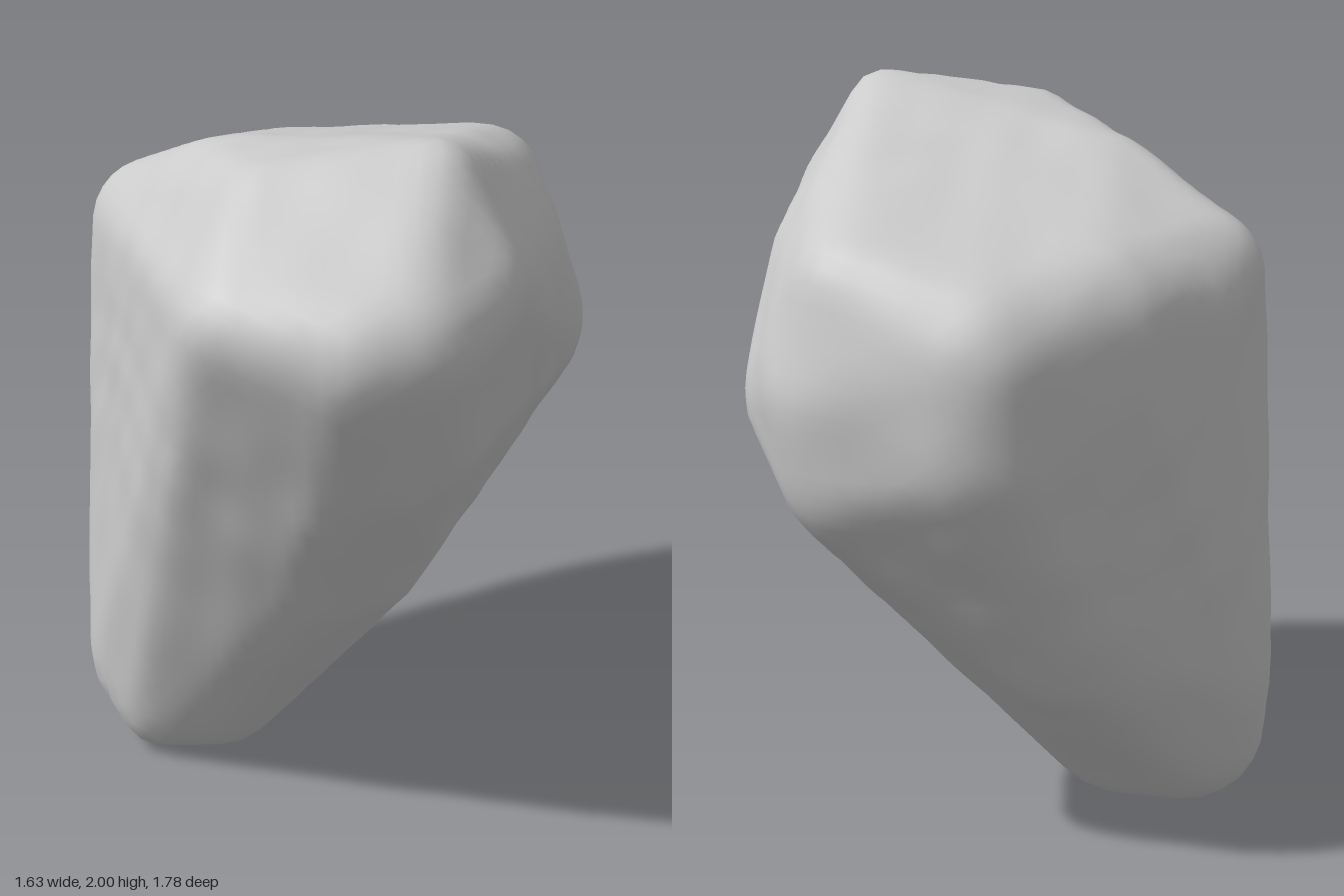
import * as THREE from 'three';
import { mergeVertices } from 'three/addons/utils/BufferGeometryUtils.js';
import { ConvexGeometry } from 'three/addons/geometries/ConvexGeometry.js';

// Rounded corners of the boulder: [x, y, z, radius]
const CORNERS = [
  // narrow foot
  [-0.45, 0.15, -0.39, 0.15], [-0.4, 0.24, -0.51, 0.21], [-0.33, 0.26, -0.33, 0.25], [-0.35, 0.45, -0.56, 0.23],
  // front nose and its sloping underside
  [-0.67, 1.6, 0.46, 0.15], [-0.32, 1.56, 0.67, 0.22], [-0.12, 1.62, 0.58, 0.21], [-0.45, 1.54, 0.65, 0.2],
  [-0.25, 0.9, 0.15, 0.34], [-0.28, 1.3, 0.4, 0.36],
  // top ridge and plateau
  [-0.12, 1.88, 0.5, 0.12], [-0.48, 1.82, 0.28, 0.12], [-0.34, 1.72, -0.2, 0.15], [0.36, 1.68, 0.04, 0.13],
  // back
  [-0.34, 1.53, -0.57, 0.19], [-0.14, 1.47, -0.65, 0.21], [0.1, 1.48, -0.66, 0.23], [0.1, 1.3, -0.64, 0.25],
  [0.4, 1.4, -0.58, 0.27], [0.4, 1.18, -0.56, 0.27], [0, 0.65, -0.5, 0.3],
  // bulging side
  [0.52, 1.3, -0.3, 0.3], [0.5, 1.13, -0.3, 0.29], [0.57, 1.54, -0.32, 0.2], [0.46, 1.25, -0.1, 0.28],
  [0.3, 1.52, 0.12, 0.22],
];

// Ball with every vertex shared by its neighbouring faces
function sharedBall(detail) {
  const ball = new THREE.IcosahedronGeometry(1, detail);
  ball.deleteAttribute('normal');
  ball.deleteAttribute('uv');
  return mergeVertices(ball);
}

const vertex = (pos, i) => new THREE.Vector3().fromBufferAttribute(pos, i);

// Face planes of the hull wrapped around a ball at every corner
function hullPlanes() {
  const ball = sharedBall(3).attributes.position;
  const points = [];
  for (const [x, y, z, r] of CORNERS) {
    const centre = new THREE.Vector3(x, y, z);
    for (let i = 0; i < ball.count; i++) points.push(vertex(ball, i).multiplyScalar(r).add(centre));
  }
  const pos = new ConvexGeometry(points).attributes.position;
  const planes = [];
  for (let i = 0; i < pos.count; i += 3) {
    const plane = new THREE.Plane().setFromCoplanarPoints(vertex(pos, i), vertex(pos, i + 1), vertex(pos, i + 2));
    if (plane.normal.lengthSq() > 0.5) planes.push(plane);
  }
  return planes;
}

export function createModel() {
  const planes = hullPlanes();
  const centre = new THREE.Vector3(-0.1, 1.15, -0.1);
  const geometry = sharedBall(22);
  const pos = geometry.attributes.position;

  // Push an even mesh out to the hull, with slight chiselled unevenness
  for (let i = 0; i < pos.count; i++) {
    const dir = vertex(pos, i).normalize();
    let reach = 3;
    for (const { normal, constant } of planes) {
      const facing = normal.dot(dir);
      if (facing > 1e-4) reach = Math.min(reach, -(normal.dot(centre) + constant) / facing);
    }
    const bump = Math.sin(13 * dir.x + 5 * dir.y) * Math.sin(11 * dir.y - 7 * dir.z) * Math.sin(12 * dir.z + 4 * dir.x);
    dir.multiplyScalar(reach + 0.005 * bump).add(centre);
    pos.setXYZ(i, dir.x, dir.y, dir.z);
  }
  geometry.computeVertexNormals();

  const boulder = new THREE.Mesh(geometry, new THREE.MeshStandardMaterial({ color: 0xcccccc }));
  boulder.name = 'boulder';
  const group = new THREE.Group();
  group.name = 'rock';
  group.add(boulder);
  return group;
}
